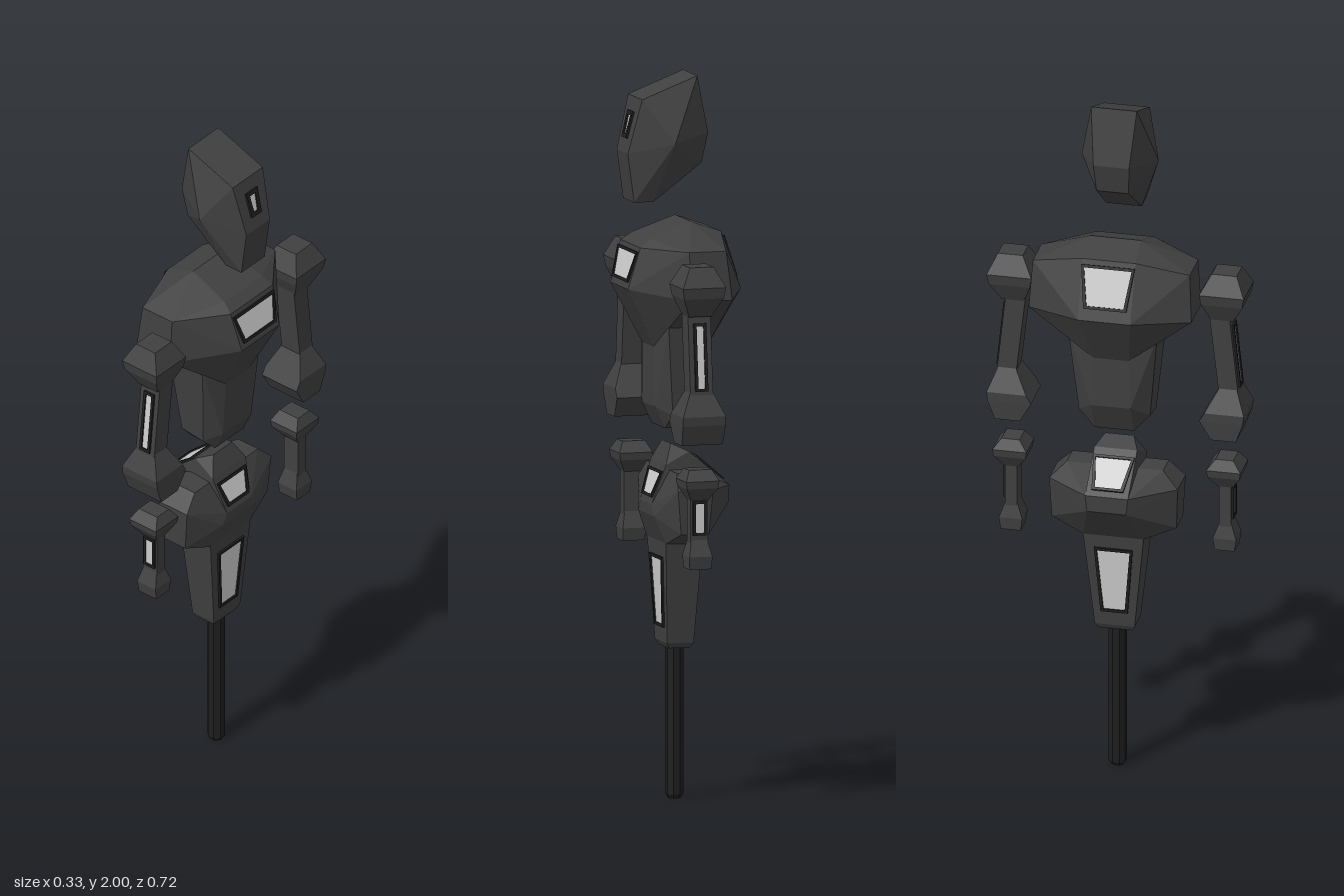
import * as THREE from 'three';
import { ConvexGeometry } from 'three/addons/geometries/ConvexGeometry.js';

const dark = new THREE.MeshStandardMaterial({ color: 0x404040, flatShading: true });
const black = new THREE.MeshStandardMaterial({ color: 0x1e1e1e, flatShading: true });
const glass = new THREE.MeshStandardMaterial({ color: 0xf0f0f0, side: THREE.DoubleSide });

const V = (x, y, z) => new THREE.Vector3(x, y, z);

function add(parent, name, geometry, material = dark) {
  const mesh = new THREE.Mesh(geometry, material);
  mesh.name = name;
  parent.add(mesh);
  return mesh;
}

// Faceted block from [x, y, z] corners, each mirrored in z
function facets(parent, name, corners) {
  const points = corners.flatMap(([x, y, z]) => [V(x, y, z), V(x, y, -z)]);
  return add(parent, name, new ConvexGeometry(points));
}

// Faceted block from stacked rectangles [y, xMin, xMax, zMin, zMax]
function stack(parent, name, rings) {
  const points = rings.flatMap(([y, x0, x1, z0, z1]) =>
    [V(x0, y, z0), V(x1, y, z0), V(x0, y, z1), V(x1, y, z1)]);
  return add(parent, name, new ConvexGeometry(points));
}

// Tapered outline; wTop and wBottom are half widths
const taper = (Type, wTop, wBottom, h) => {
  const s = new Type();
  s.moveTo(-wBottom, -h / 2);
  s.lineTo(wBottom, -h / 2);
  s.lineTo(wTop, h / 2);
  s.lineTo(-wTop, h / 2);
  s.closePath();
  return s;
};

// Light panel in a thin dark rim, lying on the line from top to bottom
function panel(parent, name, top, bottom, wTop, wBottom, outward, rim = 0.01) {
  const up = top.clone().sub(bottom);
  const h = up.length();
  up.normalize();
  const side = up.clone().cross(outward).normalize();
  const normal = side.clone().cross(up);
  const group = new THREE.Group();
  group.name = name;
  group.matrix.makeBasis(side, up, normal);
  group.quaternion.setFromRotationMatrix(group.matrix);
  group.position.copy(top).add(bottom).multiplyScalar(0.5);
  const frame = taper(THREE.Shape, wTop + rim, wBottom + rim, h + rim * 2);
  frame.holes.push(taper(THREE.Path, wTop, wBottom, h));
  add(group, 'panelRim', new THREE.ExtrudeGeometry(frame, { depth: 0.006, bevelEnabled: false }), black);
  const pane = add(group, 'panelGlass', new THREE.ShapeGeometry(taper(THREE.Shape, wTop, wBottom, h)), glass);
  pane.position.z = 0.002;
  parent.add(group);
}

const FRONT = V(1, 0, 0), BACK = V(-1, 0, 0);

function makeHead() {
  const g = new THREE.Group();
  g.name = 'head';
  facets(g, 'skull', [
    [-0.042, 2.0, 0.064], [0.116, 1.94, 0.064], [0.153, 1.79, 0.05], [0.135, 1.655, 0.05],
    [0.08, 1.655, 0.05], [-0.06, 1.757, 0.045], [-0.077, 1.84, 0.05], [0.035, 1.82, 0.108],
  ]);
  panel(g, 'eye', V(0.1285, 1.89, 0), V(0.141, 1.84, 0), 0.012, 0.008, FRONT, 0.012);
  return g;
}

function makeTorso() {
  const g = new THREE.Group();
  g.name = 'torso';
  facets(g, 'chest', [
    [-0.106, 1.57, 0.075], [-0.02, 1.6, 0.07], [0.1, 1.557, 0.08], [0.13, 1.535, 0.09],
    [0.162, 1.42, 0.08], [-0.164, 1.41, 0.073], [-0.13, 1.39, 0.075],
    [-0.075, 1.535, 0.22], [0.03, 1.535, 0.22], [-0.09, 1.4, 0.228], [0.03, 1.4, 0.228],
    [-0.06, 1.32, 0.125], [0.06, 1.32, 0.125], [0.08, 1.255, 0.05], [-0.08, 1.26, 0.05],
  ]);
  facets(g, 'abdomen', [
    [-0.06, 1.33, 0.125], [0.06, 1.33, 0.125], [0.08, 1.255, 0.05], [-0.08, 1.26, 0.05],
    [-0.08, 1.116, 0.055], [0.078, 1.09, 0.06], [-0.035, 1.08, 0.1], [0.04, 1.07, 0.1],
    [-0.037, 1.03, 0.055], [0.05, 1.03, 0.06],
  ]);
  panel(g, 'chestPanel', V(0.136, 1.515, 0), V(0.155, 1.445, 0), 0.078, 0.06, FRONT, 0.008);
  panel(g, 'backPanel', V(-0.114, 1.548, 0), V(-0.15, 1.449, 0), 0.067, 0.052, BACK, 0.008);
  return g;
}

function makePelvis() {
  const g = new THREE.Group();
  g.name = 'pelvis';
  facets(g, 'waist', [
    [0.027, 0.985, 0.04], [-0.02, 0.963, 0.06], [0.05, 0.93, 0.07], [-0.135, 0.867, 0.06],
    [0.085, 0.82, 0.05], [0, 0.8, 0.08],
  ]);
  facets(g, 'hips', [
    [-0.03, 0.915, 0.135], [0.04, 0.915, 0.135], [-0.05, 0.87, 0.18], [0.05, 0.87, 0.18],
    [-0.04, 0.75, 0.175], [0.04, 0.75, 0.175], [-0.135, 0.867, 0.06], [-0.135, 0.82, 0.055],
    [0.085, 0.82, 0.05], [0.085, 0.79, 0.07], [-0.05, 0.71, 0.085], [0.055, 0.715, 0.09],
  ]);
  panel(g, 'waistPanelFront', V(0.0575, 0.903, 0), V(0.078, 0.845, 0), 0.052, 0.036, FRONT, 0.008);
  panel(g, 'waistPanelBack', V(-0.045, 0.942, 0), V(-0.115, 0.884, 0), 0.05, 0.036, BACK, 0.008);
  return g;
}

function makeLeg() {
  const g = new THREE.Group();
  g.name = 'leg';
  stack(g, 'thigh', [
    [0.74, -0.052, 0.056, -0.088, 0.088], [0.435, -0.034, 0.042, -0.056, 0.056],
    [0.42, -0.026, 0.034, -0.048, 0.048],
  ]);
  panel(g, 'thighPanelFront', V(0.0526, 0.665, 0), V(0.0443, 0.485, 0), 0.046, 0.03, FRONT, 0.008);
  panel(g, 'thighPanelBack', V(-0.0476, 0.665, 0), V(-0.037, 0.485, 0), 0.046, 0.03, BACK, 0.008);
  // Pole with a chamfered foot
  const profile = [[0, 0], [0.017, 0], [0.025, 0.012], [0.025, 0.43], [0, 0.43]]
    .map(([r, y]) => new THREE.Vector2(r, y));
  add(g, 'pole', new THREE.LatheGeometry(profile, 8, Math.PI / 8), black).position.x = 0.004;
  return g;
}

// One arm; s is the side it sits on along z
function makeArm(s) {
  const g = new THREE.Group();
  g.name = s > 0 ? 'nearArm' : 'farArm';
  const block = (name, rings) =>
    stack(g, name, rings.map(([y, x0, x1, z0, z1]) => [y, x0, x1, s * z0, s * z1]));
  const out = V(0, 0, s);

  block('shoulder', [
    [1.51, -0.002, 0.066, 0.265, 0.335], [1.455, -0.03, 0.093, 0.235, 0.361],
    [1.425, -0.025, 0.088, 0.24, 0.355], [1.372, 0, 0.065, 0.262, 0.325],
  ]);
  block('upperArm', [[1.39, 0, 0.065, 0.257, 0.313], [1.12, 0, 0.065, 0.288, 0.342]]);
  panel(g, 'upperArmPanel', V(0.033, 1.345, s * 0.318), V(0.033, 1.175, s * 0.336), 0.01, 0.01, out, 0.008);
  block('elbow', [
    [1.165, 0, 0.065, 0.285, 0.335], [1.1, -0.03, 0.093, 0.25, 0.361],
    [1.075, -0.03, 0.093, 0.236, 0.358], [1.02, -0.027, 0.09, 0.268, 0.338],
  ]);
  block('wrist', [
    [0.95, 0, 0.065, 0.275, 0.325], [0.92, -0.015, 0.08, 0.252, 0.348],
    [0.9, -0.012, 0.077, 0.255, 0.345], [0.865, 0.008, 0.058, 0.28, 0.32],
  ]);
  block('forearm', [[0.88, 0.008, 0.058, 0.283, 0.317], [0.73, 0.008, 0.058, 0.283, 0.317]]);
  panel(g, 'forearmPanel', V(0.033, 0.855, s * 0.317), V(0.033, 0.775, s * 0.317), 0.012, 0.012, out, 0.007);
  block('hand', [
    [0.755, 0.01, 0.056, 0.283, 0.317], [0.71, 0, 0.066, 0.267, 0.333], [0.675, 0.002, 0.064, 0.272, 0.328],
  ]);
  return g;
}

export function createModel() {
  const model = new THREE.Group();
  model.name = 'figure';
  model.add(makeHead(), makeTorso(), makePelvis(), makeLeg(), makeArm(1), makeArm(-1));
  return model;
}
